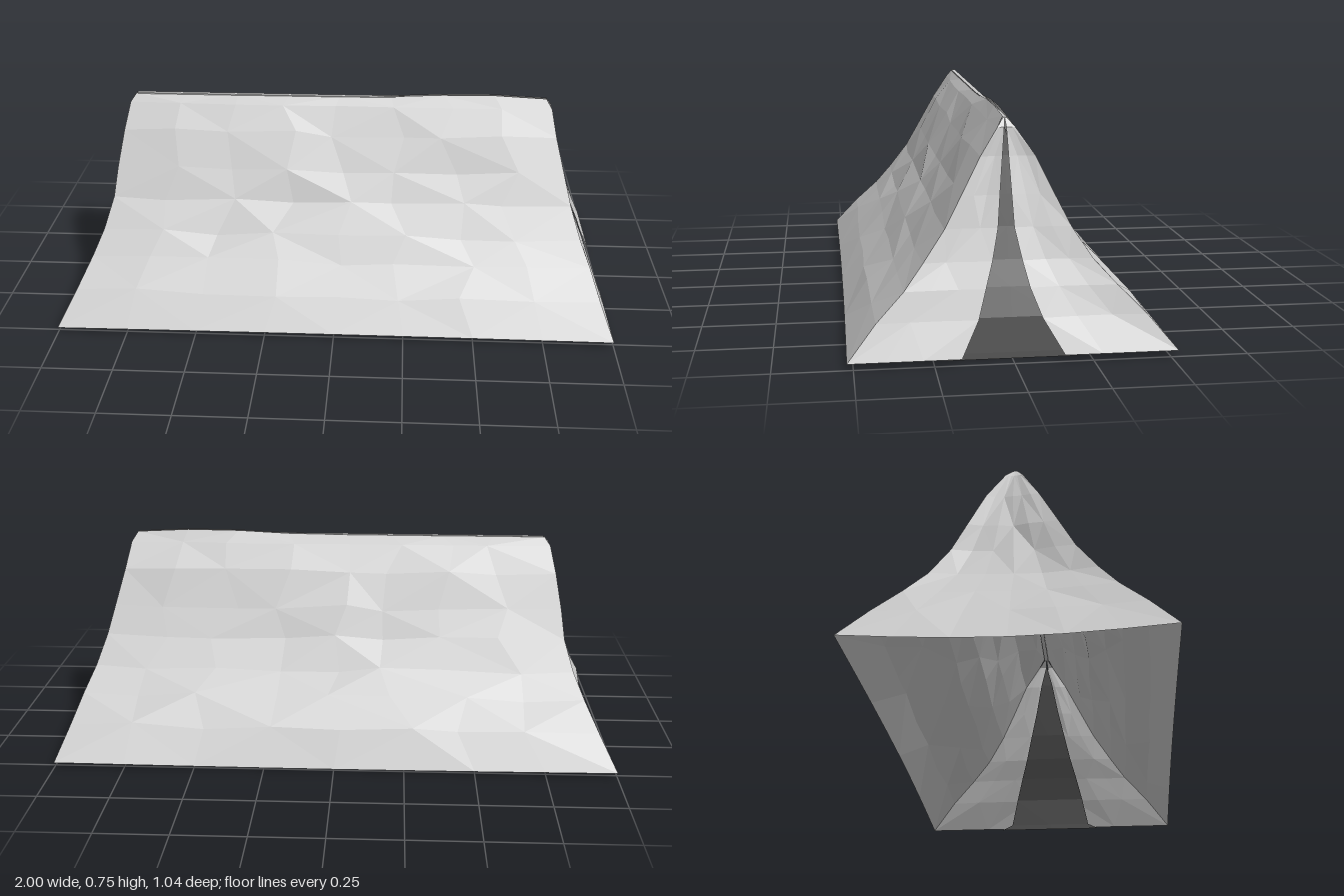
import * as THREE from 'three';

// Tent outline from ground to ridge:
// y, x of door end, x of closed end, z of front slope, z of back slope
const SEAM = [
  [0.02, 1.0, 1.0, 0.52, 0.525], [0.13, 0.955, 0.942, 0.428, 0.432],
  [0.22, 0.922, 0.897, 0.338, 0.342], [0.3, 0.888, 0.862, 0.275, 0.268],
  [0.4, 0.855, 0.833, 0.203, 0.203], [0.5, 0.83, 0.822, 0.148, 0.153],
  [0.62, 0.8, 0.803, 0.083, 0.095], [0.71, 0.783, 0.785, 0.026, 0.032],
  [0.738, 0.762, 0.765, 0.006, 0.008],
];
const ROWS = SEAM.length - 1;

// Inner edge of the two door flaps, one half-gap per seam row
const GAP_FRONT = [0.165, 0.107, 0.08, 0.055, 0.033, 0.024, 0.012, 0.004, 0];
const GAP_BACK = [0.16, 0.095, 0.06, 0.04, 0.019, 0.014, 0.008, 0.003, 0];

const canvas = new THREE.MeshStandardMaterial({
  color: 0xcccccc, flatShading: true, side: THREE.DoubleSide,
});
const dark = new THREE.MeshStandardMaterial({
  color: 0x505050, flatShading: true, side: THREE.DoubleSide,
});

// Repeatable value in -1..1 for creases in the cloth
function crease(i, j, seed) {
  const s = Math.sin(i * 127.1 + j * 311.7 + seed * 74.7) * 43758.5453;
  return 2 * (s - Math.floor(s)) - 1;
}

// Grid of cloth: point(row, u, column) gives a position, u runs 0..1 across
function sheet(name, cols, point, material, flip = false) {
  const positions = [], index = [];
  for (let j = 0; j <= ROWS; j++) {
    for (let i = 0; i <= cols; i++) positions.push(...point(j, i / cols, i));
  }
  const tri = (a, b, c) => (flip ? index.push(a, c, b) : index.push(a, b, c));
  for (let j = 0; j < ROWS; j++) {
    for (let i = 0; i < cols; i++) {
      const a = j * (cols + 1) + i, b = a + 1, c = a + cols + 1, d = c + 1;
      if ((i + j) % 2) { tri(a, b, c); tri(b, d, c); } else { tri(a, b, d); tri(a, d, c); }
    }
  }
  const geometry = new THREE.BufferGeometry();
  geometry.setAttribute('position', new THREE.Float32BufferAttribute(positions, 3));
  geometry.setIndex(index);
  geometry.computeVertexNormals();
  const mesh = new THREE.Mesh(geometry, material);
  mesh.name = name;
  return mesh;
}

// Long roof slope, slightly billowed and creased between the seams
function slope(name, side) {
  const cols = 8;
  return sheet(name, cols, (j, u, i) => {
    const [y0, doorX, closedX, zf, zb] = SEAM[j];
    const inner = i > 0 && i < cols && j > 0 && j < ROWS;
    const belly = Math.sin(Math.PI * u);
    let x = THREE.MathUtils.lerp(-closedX, doorX, u);
    let y = y0, z = side > 0 ? zf : zb;
    if (inner) {
      x += 0.05 * crease(i, j, side + 5);
      z += 0.008 * Math.sqrt(belly) + 0.005 * crease(i, j, side + 2);
      if (j < ROWS - 1) y += 0.012 * crease(i, j, side + 9);
    }
    // raised bump along the ridge
    if (j === ROWS) y += 0.016 * Math.exp(-(((x - 0.5) / 0.25) ** 2));
    // the hems sag inward at their middle
    if (j === 0) {
      z -= (side < 0 ? 0.02 : 0.005) * belly;
      y -= (side < 0 ? 0.014 : 0) * belly;
    }
    return [x, y, side * z];
  }, canvas, side < 0);
}

// Narrow strip closing the top between the two slopes
function ridge() {
  const strip = new THREE.Mesh(new THREE.BoxGeometry(1.52, 0.006, 0.016), canvas);
  strip.name = 'ridge';
  strip.position.y = 0.737;
  return strip;
}

// Closed end wall, drawn in a little between its seams
function endWall() {
  const cols = 6;
  return sheet('closedEnd', cols, (j, u, i) => {
    const [y0, , closedX, zf, zb] = SEAM[j];
    const belly = Math.sin(Math.PI * u);
    const inner = i > 0 && i < cols && j > 0 && j < ROWS - 1;
    const inset = 0.028 * belly * Math.min(1, (ROWS - j) / 5);
    const x = -closedX + inset + (inner ? 0.006 * crease(i, j, 3) : 0);
    return [x, j === 0 ? y0 - 0.012 * belly : y0, THREE.MathUtils.lerp(-zb, zf, u)];
  }, canvas);
}

// Door flap from the corner seam to the curved edge of the opening
function flap(name, side) {
  const gap = side > 0 ? GAP_FRONT : GAP_BACK;
  return sheet(name, 3, (j, u, i) => {
    const [y, doorX, , zf, zb] = SEAM[j];
    const inner = i > 0 && i < 3 && j > 0 && j < ROWS - 1;
    const x = doorX + (inner ? -0.006 + 0.004 * crease(i, j, side + 6) : 0);
    return [x, y, side * THREE.MathUtils.lerp(side > 0 ? zf : zb, gap[j], u)];
  }, canvas, side < 0);
}

// Dark panel behind the flaps, closing the doorway and splayed at the ground
function doorway() {
  return sheet('doorway', 2, (j, u) => {
    if (j === 0) return [0.95, 0, 0.21 * (1 - 2 * u)];
    const [y, doorX] = SEAM[j - 1];
    const x = j === 1 ? 0.948 : doorX - 0.022;
    return [x, y, 0.168 * (1 - (j - 1) / (ROWS - 1)) * (1 - 2 * u)];
  }, dark);
}

export function createModel() {
  const tent = new THREE.Group();
  tent.name = 'tent';
  tent.add(
    slope('frontSlope', 1), slope('backSlope', -1), ridge(), endWall(),
    flap('frontDoorFlap', 1), flap('backDoorFlap', -1), doorway(),
  );
  return tent;
}
